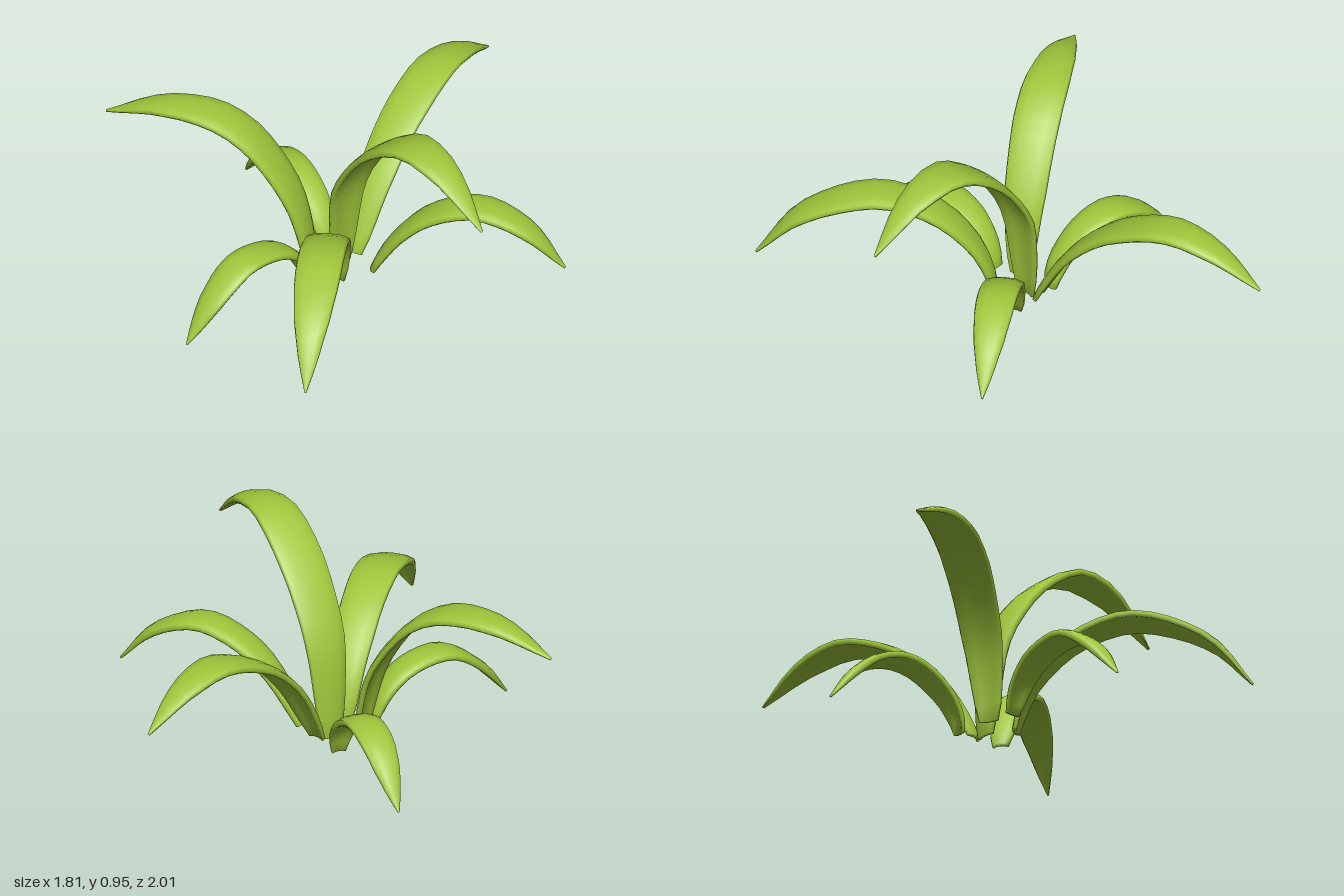
import * as THREE from 'three';

const SEGMENTS = 18;

// Half-width along the leaf, as a share of the leaf's widest point
const WIDTHS = [[0, 0.42], [0.04, 0.56], [0.12, 0.7], [0.28, 0.9], [0.5, 1], [0.64, 0.98], [0.78, 0.76], [0.91, 0.4], [1, 0.04]];

// Cross-section: [share of half-width, height]; edges droop a little, underside is hollow
const SECTION = [
  [1, -0.010], [0.93, 0.006], [0.5, 0.016], [0, 0.018],
  [-0.5, 0.016], [-0.93, 0.006], [-1, -0.010], [-0.9, -0.022],
  [-0.5, -0.012], [0, -0.009], [0.5, -0.012], [0.9, -0.022],
];

// base and tip are [x, z]; arch lists [share of the way to the tip, height]
const LEAVES = [
  { name: 'tallLeftLeaf', base: [-0.04, 0.11], tip: [0.9, 0.07], width: 0.112,
    arch: [[0, 0.03], [0.015, 0.25], [0.055, 0.48], [0.165, 0.67], [0.28, 0.8], [0.46, 0.92], [0.575, 0.945], [0.77, 0.9], [1, 0.73]] },
  { name: 'frontRightLeaf', base: [-0.1, 0.22], tip: [-0.9, 0.73], width: 0.105,
    arch: [[0, 0.04], [0.025, 0.2], [0.09, 0.4], [0.27, 0.64], [0.42, 0.73], [0.57, 0.755], [0.76, 0.735], [1, 0.64]] },
  { name: 'backLeaf', base: [-0.04, 0.04], tip: [-0.4, -1], width: 0.1,
    arch: [[0, 0.05], [0.04, 0.14], [0.13, 0.31], [0.23, 0.44], [0.36, 0.55], [0.6, 0.645], [0.81, 0.6], [1, 0.47]] },
  { name: 'backLeftLeaf', base: [0.1, 0.04], tip: [0.78, -0.49], width: 0.088,
    arch: [[0, 0.05], [0.05, 0.14], [0.15, 0.27], [0.3, 0.39], [0.55, 0.465], [0.81, 0.38], [1, 0.2]] },
  { name: 'frontLeftLeaf', base: [0.05, 0.21], tip: [0.78, 0.96], width: 0.102,
    arch: [[0, 0.04], [0.02, 0.13], [0.07, 0.26], [0.2, 0.42], [0.35, 0.51], [0.52, 0.54], [0.82, 0.42], [1, 0.2]] },
  { name: 'lowFrontLeaf', base: [-0.04, 0.3], tip: [0, 1], width: 0.08,
    arch: [[0, 0.06], [0.03, 0.11], [0.08, 0.18], [0.22, 0.27], [0.42, 0.31], [0.58, 0.3], [0.8, 0.19], [1, 0.02]] },
  { name: 'lowRightLeaf', base: [-0.15, 0.08], tip: [-0.82, 0.015], width: 0.08,
    arch: [[0, 0.02], [0.02, 0.08], [0.1, 0.17], [0.3, 0.27], [0.48, 0.295], [0.67, 0.26], [0.82, 0.18], [1, 0.03]] },
];

function widthAt(u) {
  let i = 1;
  while (i < WIDTHS.length - 1 && WIDTHS[i][0] < u) i++;
  const [u0, w0] = WIDTHS[i - 1], [u1, w1] = WIDTHS[i];
  return THREE.MathUtils.mapLinear(u, u0, u1, w0, w1);
}

// Sweeps the section along the arched spine and closes both ends
function leafGeometry({ base, tip, arch, width }) {
  const dx = tip[0] - base[0], dz = tip[1] - base[1];
  const spine = new THREE.CatmullRomCurve3(
    arch.map(([f, y]) => new THREE.Vector3(base[0] + dx * f, y, base[1] + dz * f)));
  const side = new THREE.Vector3(-dz, 0, dx).normalize();
  const n = SECTION.length, positions = [], indices = [];

  for (let i = 0; i <= SEGMENTS; i++) {
    const u = i / SEGMENTS;
    const p = spine.getPointAt(u);
    const up = new THREE.Vector3().crossVectors(side, spine.getTangentAt(u)).normalize();
    const w = width * widthAt(u);
    const thick = Math.min(1, 0.7 + u * 3, 0.25 + (1 - u) * 4);
    for (const [s, h] of SECTION) {
      const v = p.clone().addScaledVector(side, s * w).addScaledVector(up, h * thick);
      positions.push(v.x, Math.max(0, v.y), v.z);
    }
  }
  for (let i = 0; i < SEGMENTS; i++) {
    for (let j = 0; j < n; j++) {
      const a = i * n + j, b = i * n + (j + 1) % n;
      indices.push(a, b, a + n, b, b + n, a + n);
    }
  }
  // End caps
  const last = SEGMENTS * n;
  for (let j = 0; j < n / 2; j++) {
    const a = j, b = j + 1, c = (n - j) % n, d = n - j - 1;
    for (const [p, q, r] of [[a, d, b], [a, c, d]]) {
      if (p === q || q === r || p === r) continue;
      indices.push(p, q, r, last + p, last + r, last + q);
    }
  }
  const geometry = new THREE.BufferGeometry();
  geometry.setAttribute('position', new THREE.Float32BufferAttribute(positions, 3));
  geometry.setIndex(indices);
  geometry.computeVertexNormals();
  return geometry;
}

export function createModel() {
  const plant = new THREE.Group();
  plant.name = 'leafyPlant';
  const green = new THREE.MeshStandardMaterial({ color: 0x9fc63b, side: THREE.DoubleSide });
  for (const leaf of LEAVES) {
    const mesh = new THREE.Mesh(leafGeometry(leaf), green);
    mesh.name = leaf.name;
    plant.add(mesh);
  }
  return plant;
}
